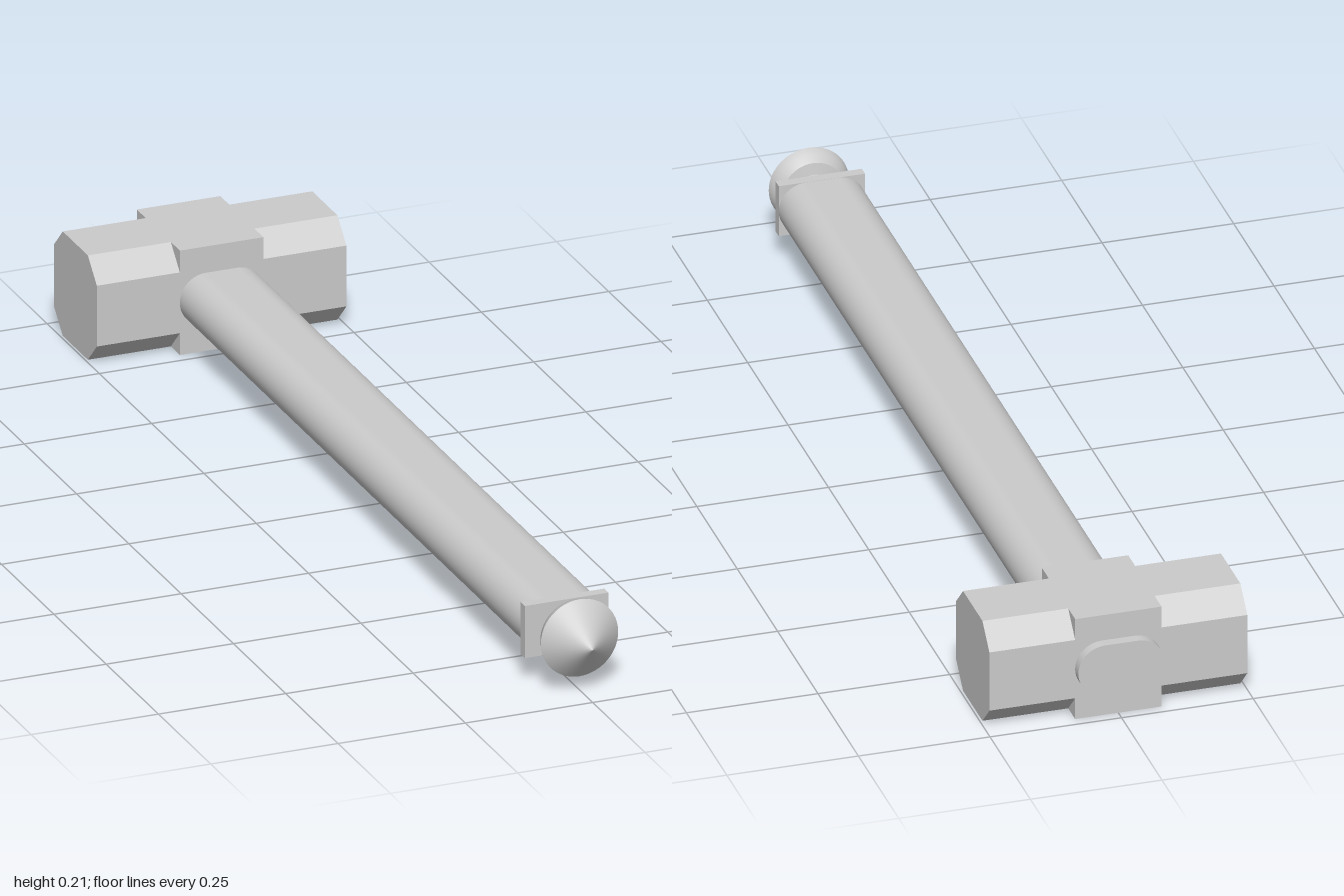
import * as THREE from 'three';

const material = new THREE.MeshStandardMaterial({ color: 0xcccccc });
const flatMaterial = new THREE.MeshStandardMaterial({ color: 0xcccccc, flatShading: true });
const MID_Y = 0.103;
const HEAD_Z = -0.877;

function add(group, name, geometry, mat, x, y, z) {
  const mesh = new THREE.Mesh(geometry, mat);
  mesh.name = name;
  mesh.position.set(x, y, z);
  group.add(mesh);
  return mesh;
}

// Square with cut corners, in the XY plane
function octagon(half, cut) {
  const s = new THREE.Shape();
  const a = half - cut;
  s.moveTo(half, -a);
  [[half, a], [a, half], [-a, half], [-half, a], [-half, -a], [-a, -half], [a, -half]]
    .forEach(([x, y]) => s.lineTo(x, y));
  s.closePath();
  return s;
}

// Rounded slot outline: straight top and bottom, half-round sides
function stadium(halfWidth, radius) {
  const s = new THREE.Shape();
  const c = halfWidth - radius;
  s.moveTo(-c, -radius);
  s.lineTo(c, -radius);
  s.absarc(c, 0, radius, -Math.PI / 2, Math.PI / 2, false);
  s.lineTo(-c, radius);
  s.absarc(-c, 0, radius, Math.PI / 2, Math.PI * 1.5, false);
  return s;
}

export function createModel() {
  const group = new THREE.Group();
  group.name = 'sledgehammer';

  // Head: square eye block with a chamfered striking end on each side
  add(group, 'headBlock', new THREE.BoxGeometry(0.164, 0.206, 0.206), flatMaterial, 0, MID_Y, HEAD_Z);
  for (const side of [-1, 1]) {
    const end = new THREE.ExtrudeGeometry(octagon(0.103, 0.043), { depth: 0.163, bevelEnabled: false });
    end.translate(0, 0, 0.082);
    end.rotateY(side * Math.PI / 2);
    add(group, side > 0 ? 'leftStrikingEnd' : 'rightStrikingEnd', end, flatMaterial, 0, MID_Y, HEAD_Z);
  }

  // Handle runs through the head and shows a little behind it
  const handle = new THREE.ExtrudeGeometry(stadium(0.082, 0.051), {
    depth: 1.87, bevelEnabled: false, curveSegments: 24,
  });
  // Smooth normals around the rounded sides, flat caps left as they are
  const pos = handle.attributes.position;
  const nor = handle.attributes.normal;
  for (let i = 0; i < pos.count; i++) {
    if (Math.abs(nor.getZ(i)) > 0.5) continue;
    const x = pos.getX(i);
    const dx = Math.sign(x) * Math.max(0, Math.abs(x) - 0.031);
    const n = new THREE.Vector3(dx, pos.getY(i), 0).normalize();
    nor.setXYZ(i, n.x, n.y, 0);
  }
  add(group, 'handle', handle, material, 0, MID_Y, -1);

  // Rectangular end plate
  add(group, 'endPlate', new THREE.BoxGeometry(0.164, 0.103, 0.02), flatMaterial, 0, MID_Y, 0.865);

  // Pommel: waisted neck, flared collar and cone, each kept crisp at its edges
  const neck = [[0.042, 0.872], [0.028, 0.879], [0.02, 0.888], [0.02, 0.895], [0.027, 0.902], [0.036, 0.906]];
  const sections = {
    pommelNeck: neck,
    pommelShoulder: [[0.036, 0.906], [0.058, 0.91]],
    pommelCollar: [[0.058, 0.91], [0.07, 0.92], [0.076, 0.937]],
    pommelCone: [[0.076, 0.937], [0, 1]],
  };
  for (const [name, profile] of Object.entries(sections)) {
    const lathe = new THREE.LatheGeometry(profile.map(([r, z]) => new THREE.Vector2(r, z)), 48);
    lathe.rotateX(Math.PI / 2);
    add(group, name, lathe, material, 0, MID_Y, 0);
  }

  return group;
}
